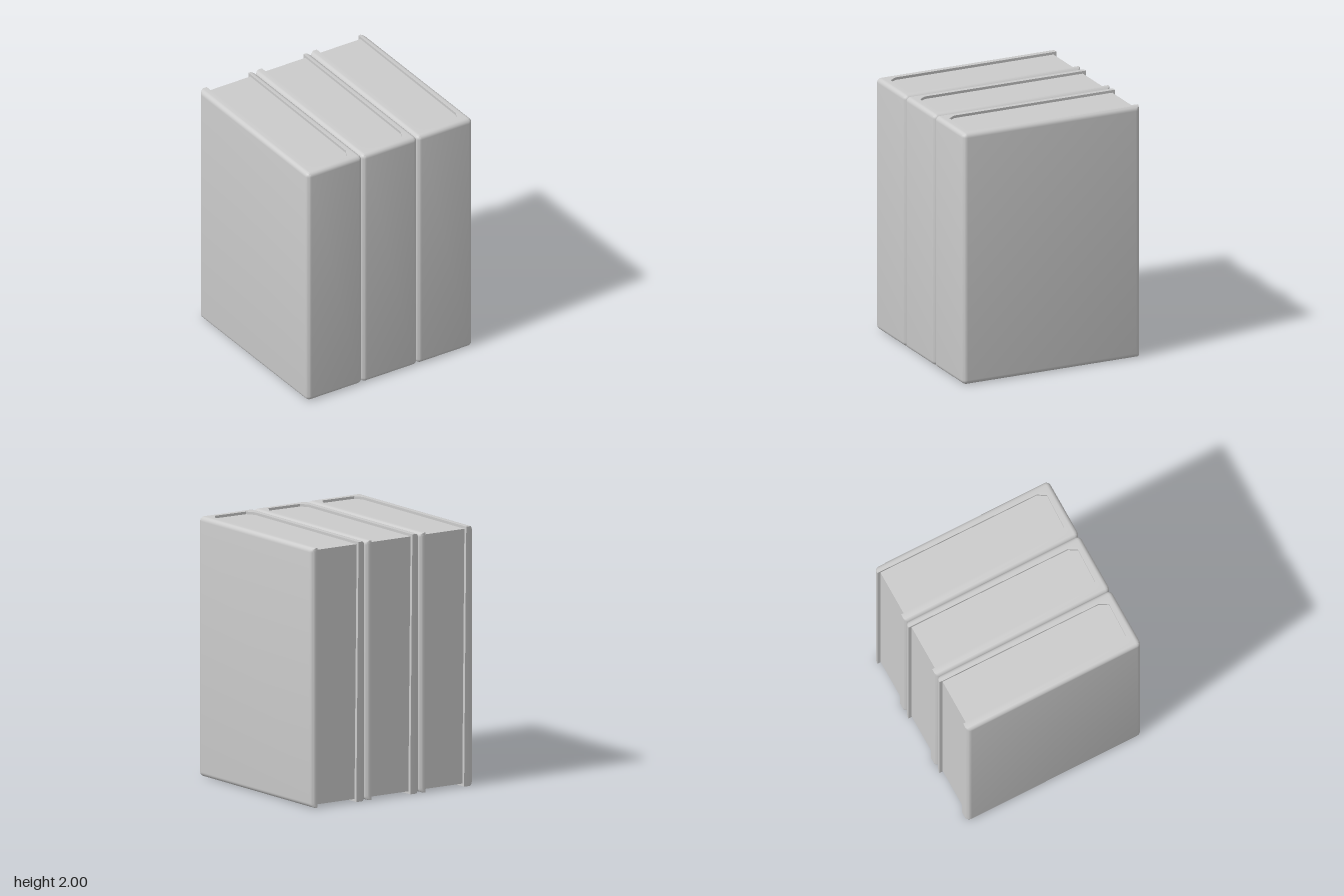
import * as THREE from 'three';
import { toCreasedNormals } from 'three/addons/utils/BufferGeometryUtils.js';

const W = 0.25, D = 0.745, H = 2, R = 0.035, STEPS = 6;

// quarter arc from angle a0 to a1 around a centre, as [x, z] points
function arc(cx, cz, r, a0, a1) {
  return Array.from({ length: STEPS + 1 }, (_, i) => {
    const a = a0 + (a1 - a0) * i / STEPS;
    return [cx + r * Math.cos(a), cz + r * Math.sin(a)];
  });
}

// U-shaped cover outline at height y, its outside drawn in by d
function outline(y, d) {
  const q = Math.PI / 2, r = R - d + 0.003, x = W - d, z = D - d;
  const lean = 0.02 * (1 - y / H); // left wall thickens towards the bottom
  return [
    [0.197, -D],
    ...arc(x - r, -D + r, r, -q, 0),
    ...arc(x - r, z - r, r, 0, q),
    ...arc(-x + r, z - r, r, q, 2 * q),
    ...arc(-x + r, -D + r, r, 2 * q, 3 * q),
    [-0.18 + lean, -D], [-0.18 + lean, 0.61], [-0.14, 0.67],
    [0.145, 0.678], [0.186, 0.61],
  ];
}

function coverGeometry() {
  // heights with the inset that rounds the top and bottom edges
  const levels = [];
  for (let i = 0; i <= STEPS; i++) {
    const a = i / STEPS * Math.PI / 2;
    levels.push([R * (1 - Math.cos(a)), R * (1 - Math.sin(a))]);
  }
  levels.sort((a, b) => a[0] - b[0]);
  const all = [...levels, ...levels.slice().reverse().map(([y, d]) => [H - y, d])];
  const rings = all.map(([y, d]) => outline(y, d).map(([x, z]) => [x, y, z]));

  const pos = [];
  const tri = (a, b, c) => pos.push(...a, ...b, ...c);
  const n = rings[0].length;
  for (let k = 0; k < rings.length - 1; k++) {
    const lo = rings[k], hi = rings[k + 1];
    for (let i = 0; i < n; i++) {
      const j = (i + 1) % n;
      tri(lo[i], hi[i], hi[j]);
      tri(lo[i], hi[j], lo[j]);
    }
  }
  // flat ends
  for (const [ring, up] of [[rings[0], false], [rings[rings.length - 1], true]]) {
    const flat = ring.map(([x, , z]) => new THREE.Vector2(x, z));
    for (const [a, b, c] of THREE.ShapeUtils.triangulateShape(flat, [])) {
      const e = flat[b].clone().sub(flat[a]), f = flat[c].clone().sub(flat[a]);
      const facesUp = e.y * f.x - e.x * f.y > 0;
      if (facesUp === up) tri(ring[a], ring[b], ring[c]);
      else tri(ring[a], ring[c], ring[b]);
    }
  }
  const geo = new THREE.BufferGeometry();
  geo.setAttribute('position', new THREE.Float32BufferAttribute(pos, 3));
  return toCreasedNormals(geo, 0.6);
}

export function createModel() {
  const model = new THREE.Group();
  model.name = 'bookRow';
  const material = new THREE.MeshStandardMaterial({ color: 0xcccccc });
  const cover = coverGeometry();

  // page block, recessed at top, bottom and back, its other sides inside the cover
  const pages = new THREE.BoxGeometry(0.41, H - 0.04, 1.42);
  pages.translate(0, H / 2, -0.72 + 0.71);

  for (const x of [-0.497, 0, 0.497]) {
    const book = new THREE.Group();
    book.name = 'book';
    for (const [name, geo] of [['cover', cover], ['pageBlock', pages]]) {
      const mesh = new THREE.Mesh(geo, material);
      mesh.name = name;
      book.add(mesh);
    }
    book.position.x = x;
    model.add(book);
  }
  return model;
}
